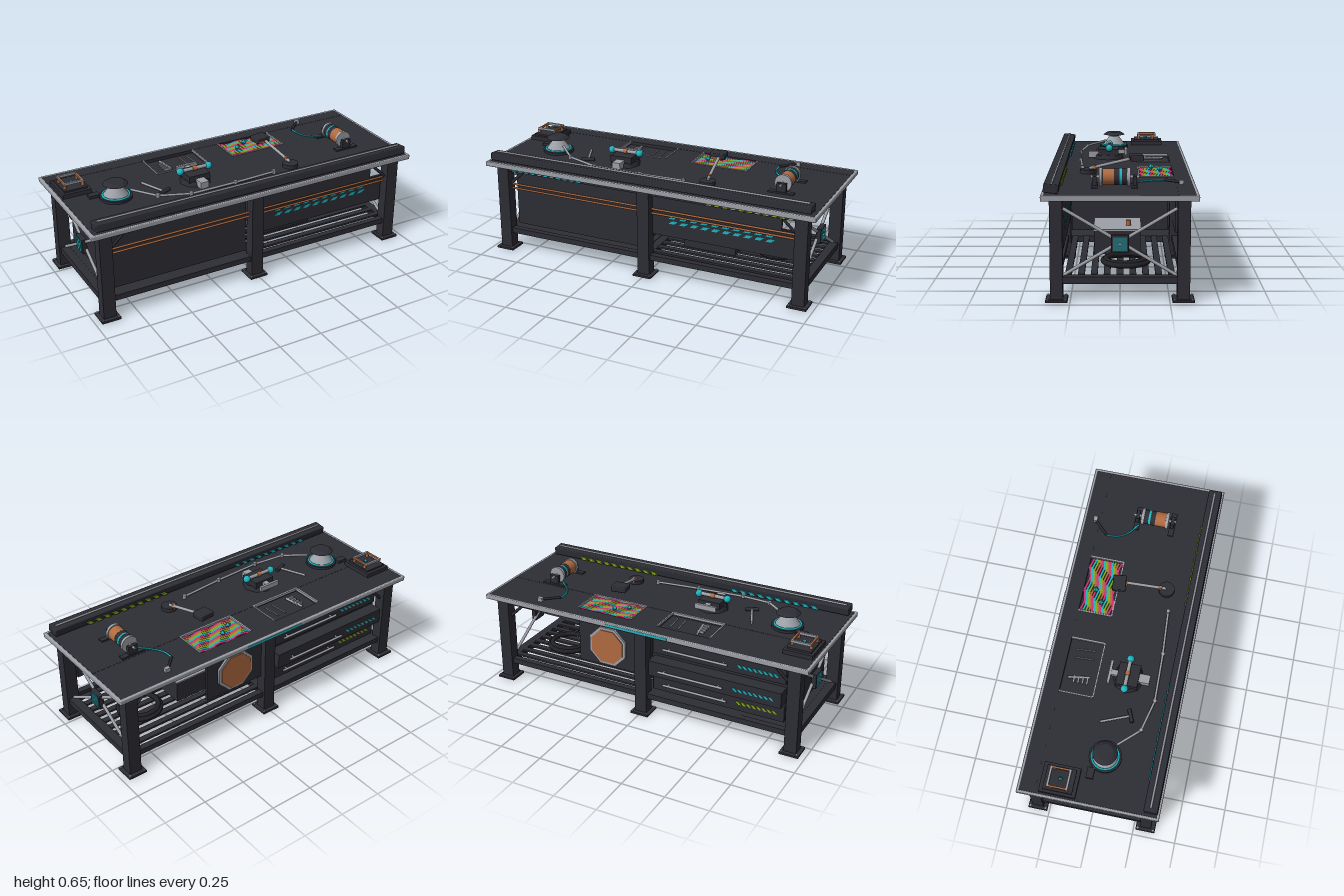
import * as THREE from 'three';
import { RoundedBoxGeometry } from 'three/addons/geometries/RoundedBoxGeometry.js';

const paint = (name, color) => {
  const m = new THREE.MeshStandardMaterial({ color });
  m.name = name;
  return m;
};

export function createModel() {
  const root = new THREE.Group();
  root.name = 'workbench';
  const dark = paint('dark steel', 0x2d2d35), black = paint('black rubber', 0x222226);
  const grey = paint('light metal', 0x9da0a7), copper = paint('copper', 0xb06a40);
  const cyan = paint('cyan', 0x1fb4c0), green = paint('lime green', 0x86a81c), pink = paint('pink', 0xd0306e);

  const add = (name, geo, mat, x = 0, y = 0, z = 0) => {
    const m = new THREE.Mesh(geo, mat);
    m.name = name;
    m.position.set(x, y, z);
    root.add(m);
    return m;
  };
  // box given by its min and max on each axis
  const box = (name, mat, x0, x1, y0, y1, z0, z1) => add(name,
    new THREE.BoxGeometry(x1 - x0, y1 - y0, z1 - z0), mat, (x0 + x1) / 2, (y0 + y1) / 2, (z0 + z1) / 2);
  const cyl = (name, mat, x, y, z, r, h, axis = 'y', r2 = r, sides = 28) => {
    const m = add(name, new THREE.CylinderGeometry(r2, r, h, sides), mat, x, y, z);
    if (axis === 'z') m.rotation.x = Math.PI / 2;
    if (axis === 'x') m.rotation.z = Math.PI / 2;
    return m;
  };
  // round or square rod from a to b
  const rod = (name, mat, a, b, r, sides = 10) => {
    const p = new THREE.Vector3(...a), q = new THREE.Vector3(...b), d = q.clone().sub(p);
    const m = add(name, new THREE.CylinderGeometry(r, r, d.length(), sides), mat);
    m.position.copy(p).add(q).multiplyScalar(0.5);
    m.quaternion.setFromUnitVectors(new THREE.Vector3(0, 1, 0), d.normalize());
    return m;
  };
  // row of slanted warning stripes
  const stripes = (name, mat, x0, x1, y, z, n, h, t = 0.004, slant = 1) => {
    const step = (x1 - x0) / n;
    for (let i = 0; i < n; i++) {
      const g = new THREE.BoxGeometry(step * 0.55, h, t), p = g.attributes.position;
      for (let k = 0; k < p.count; k++) p.setX(k, p.getX(k) + slant * p.getY(k));
      g.computeVertexNormals();
      add(name, g, mat, x0 + (i + 0.5) * step, y, z);
    }
  };

  // worktop with two shallow trays let into the rear
  box('topFront', dark, -0.985, 0.985, 0.523, 0.549, -0.1, 0.38);
  box('topBack', dark, -0.985, 0.985, 0.523, 0.549, -0.38, -0.29);
  for (const [a, b] of [[-0.985, -0.4], [-0.08, 0.09], [0.43, 0.985]])
    box('topInfill', dark, a, b, 0.523, 0.548, -0.29, -0.1);
  for (const [a, b] of [[-0.4, -0.08], [0.09, 0.43]]) {
    box('trayFloor', dark, a, b, 0.52, 0.53, -0.29, -0.1);
    for (const x of [a, b]) box('trayEdge', grey, x - 0.004, x + 0.004, 0.54, 0.552, -0.29, -0.1);
    box('trayEdge', grey, a, b, 0.54, 0.552, -0.104, -0.096);
  }
  for (const s of [-1, 1]) {
    add('topEdge', new RoundedBoxGeometry(2, 0.028, 0.016, 2, 0.005), grey, 0, 0.536, s * 0.382);
    add('topEdge', new RoundedBoxGeometry(0.016, 0.028, 0.78, 2, 0.005), grey, s * 0.992, 0.536, 0);
    // aprons below the top
    box('apron', dark, -0.88, 0.88, 0.49, 0.523, s * 0.32 - 0.015, s * 0.32 + 0.015);
    stripes('apronGreen', green, 0.37, 0.88, 0.503, s * 0.336, 11, 0.018);
  }
  stripes('apronCyan', cyan, -0.86, -0.39, 0.503, 0.336, 11, 0.018);
  stripes('apronCyan', cyan, -0.5, -0.05, 0.503, -0.336, 11, 0.018);
  box('rearLight', cyan, -0.19, 0.19, 0.529, 0.542, -0.392, -0.388);

  // tilted front ledge with rail
  const ledge = add('frontLedge', new RoundedBoxGeometry(1.94, 0.045, 0.076, 2, 0.006), dark, 0, 0.579, 0.339);
  ledge.rotation.x = -0.1;
  rod('ledgeRail', grey, [-0.95, 0.604, 0.336], [0.95, 0.604, 0.336], 0.006);
  stripes('ledgeCyan', cyan, -0.8, -0.25, 0.565, 0.298, 10, 0.018, 0.008);
  stripes('ledgeGreen', green, 0.23, 0.78, 0.565, 0.298, 10, 0.018, 0.008);

  // legs, feet and bolts
  for (const x of [-0.913, -0.003, 0.913]) for (const z of [-0.318, 0.318]) {
    box('leg', dark, x - 0.036, x + 0.036, 0.012, 0.523, z - 0.032, z + 0.032);
    add('foot', new RoundedBoxGeometry(0.112, 0.014, 0.112, 2, 0.004), dark, x, 0.007, z);
    for (const a of [-0.045, 0.045]) for (const b of [-0.045, 0.045])
      cyl('footBolt', grey, x + a, 0.016, z + b, 0.006, 0.007, 'y', 0.006, 6);
  }
  // lower frame, solid left shelf and slatted right shelf
  for (const z of [-0.318, 0.318]) box('longRail', dark, -0.88, 0.88, 0.1, 0.132, z - 0.018, z + 0.018);
  for (const x of [-0.913, -0.003, 0.913]) box('crossRail', dark, x - 0.025, x + 0.025, 0.09, 0.127, -0.3, 0.3);
  box('shelfPanel', dark, -0.89, -0.03, 0.115, 0.128, -0.3, 0.3);
  for (let i = 0; i < 9; i++) {
    const z = -0.26 + i * 0.065;
    box('shelfSlat', dark, 0.02, 0.89, 0.12, 0.131, z - 0.017, z + 0.017);
  }
  // crossed end braces with a centre plate
  for (const s of [-1, 1]) {
    for (const k of [-1, 1]) rod('endBrace', grey, [s * 0.905, 0.128, -k * 0.285], [s * 0.905, 0.47, k * 0.285], 0.009);
    add('bracePlate', new RoundedBoxGeometry(0.03, 0.088, 0.09, 2, 0.004), dark, s * 0.915, 0.294, 0);
    for (let i = 0; i < 7; i++)
      box('braceStripe', cyan, s * 0.932 - 0.002, s * 0.932 + 0.002, 0.26, 0.328, -0.032 + i * 0.0098, -0.0265 + i * 0.0098);
    cyl('braceBolt', grey, s * 0.936, 0.294, 0, 0.007, 0.006, 'x');
    // corner gussets
    for (const z of [-0.318, 0.318]) rod('cornerStrut', dark, [s * 0.88, 0.41, z], [s * 0.79, 0.495, z], 0.009, 4);
  }

  // drawer cabinet, rear drawers with handles
  box('cabinet', dark, -0.86, -0.045, 0.148, 0.476, -0.28, 0.285);
  const drawers = [[0.385, 0.47, -0.3, cyan], [0.27, 0.36, -0.358, cyan], [0.155, 0.25, -0.3, green]];
  for (const [y0, y1, z, mat] of drawers) {
    const y = (y0 + y1) / 2;
    box('drawer', dark, -0.85, -0.06, y0, y1, z, -0.27);
    rod('drawerHandle', grey, [-0.52, y, z - 0.02], [-0.13, y, z - 0.02], 0.007);
    for (const x of [-0.49, -0.16]) rod('handlePost', grey, [x, y, z], [x, y, z - 0.02], 0.005);
    stripes('drawerStripe', mat, -0.81, -0.57, y, z - 0.002, 8, 0.018);
  }
  // right front panel and paired copper rods
  box('frontPanel', dark, 0.02, 0.87, 0.25, 0.41, 0.285, 0.3);
  box('frontPanelTop', dark, 0.02, 0.79, 0.41, 0.49, 0.285, 0.3);
  for (const y of [0.338, 0.368]) stripes('panelStripe', cyan, 0.13, 0.76, y, 0.2925, 10, 0.018, 0.019, 1.2);
  for (const y of [0.38, 0.405]) for (const [a, b] of [[-0.875, -0.04], [0.035, 0.875]])
    rod('copperRod', copper, [a, y, 0.312], [b, y, 0.312], 0.006);

  // octagonal speaker on the back
  box('rearPanel', dark, 0.03, 0.41, 0.235, 0.49, -0.315, -0.3);
  for (const [name, mat, r, z] of [['octagonRim', grey, 0.124, -0.321], ['octagonFace', copper, 0.107, -0.326]])
    cyl(name, mat, 0.22, 0.365, z, r, 0.014, 'z', r, 8).rotation.y = Math.PI / 8;

  // storage crate and coiled hose on the slats
  box('crate', dark, 0.155, 0.47, 0.131, 0.26, -0.11, 0.14);
  box('crateLid', grey, 0.15, 0.475, 0.26, 0.266, -0.115, 0.145);
  cyl('crateKnob', copper, 0.36, 0.28, -0.045, 0.014, 0.03);
  for (let i = 0; i < 2; i++) {
    const hose = add('hoseCoil', new THREE.TorusGeometry(0.118 - i * 0.014, 0.014, 10, 40), black, 0.67, 0.146 + i * 0.011, -0.03);
    hose.rotation.x = Math.PI / 2 + 0.03 * i;
  }

  // wavy coloured mat in the right tray
  const matColours = [pink, copper, green, cyan];
  for (let i = 0; i < 13; i++) {
    const g = new THREE.BoxGeometry(0.325, 0.006, 0.0136, 40, 1, 1), p = g.attributes.position;
    for (let k = 0; k < p.count; k++) p.setZ(k, p.getZ(k) + 0.006 * Math.sin(p.getX(k) * 45 + i * 0.5));
    add('wavyStripe', g, matColours[(i * 3) % 4], 0.26, 0.542, -0.277 + i * 0.0136);
  }
  for (const [x, z] of [[0.16, -0.175], [0.23, -0.22]]) add('gem', new THREE.OctahedronGeometry(0.018), cyan, x, 0.56, z);

  // hand tools in the left tray
  rod('trayTool', grey, [-0.31, 0.54, -0.26], [-0.29, 0.54, -0.14], 0.007);
  for (let i = 0; i < 4; i++) box('toolTooth', grey, -0.335, -0.295, 0.533, 0.546, -0.155 - i * 0.025, -0.145 - i * 0.025);
  for (const x of [-0.19, -0.14]) rod('trayTool', grey, [x, 0.54, -0.25], [x + 0.008, 0.54, -0.14], 0.004);

  // small instrument in the rear left corner
  box('instrumentBase', dark, -0.975, -0.81, 0.549, 0.573, -0.27, -0.07);
  box('instrumentDeck', dark, -0.96, -0.825, 0.573, 0.583, -0.25, -0.09);
  for (const x of [-0.945, -0.84]) for (const z of [-0.21, -0.12]) cyl('instrumentPost', copper, x, 0.593, z, 0.009, 0.02);
  for (const z of [-0.225, -0.12]) box('instrumentBar', grey, -0.95, -0.835, 0.603, 0.616, z - 0.006, z + 0.006);
  for (const x of [-0.945, -0.84]) box('instrumentBar', copper, x - 0.005, x + 0.005, 0.603, 0.614, -0.225, -0.12);
  add('gem', new THREE.OctahedronGeometry(0.013), cyan, -0.89, 0.593, -0.165);

  // domed lamp head with its jointed arm
  cyl('lampBase', dark, -0.715, 0.556, 0.04, 0.09, 0.014);
  const ring = add('lampRing', new THREE.TorusGeometry(0.074, 0.006, 8, 36), cyan, -0.715, 0.567, 0.04);
  ring.rotation.x = Math.PI / 2;
  cyl('lampCone', grey, -0.715, 0.592, 0.04, 0.072, 0.058, 'y', 0.03);
  cyl('lampNeck', cyan, -0.715, 0.626, 0.04, 0.028, 0.012);
  cyl('lampCap', dark, -0.715, 0.639, 0.04, 0.068, 0.016, 'y', 0.045);
  box('lampLink', dark, -0.85, -0.79, 0.549, 0.565, -0.04, 0.0);
  const arm = [[-0.65, 0.6, 0.09], [-0.54, 0.585, 0.2], [-0.36, 0.57, 0.24], [-0.08, 0.565, 0.23], [0.18, 0.56, 0.21]];
  for (let i = 0; i < 4; i++) {
    rod('lampArm', grey, arm[i], arm[i + 1], 0.007);
    cyl('armJoint', grey, ...arm[i + 1], 0.011, 0.02);
  }

  // hammer
  rod('hammerHandle', grey, [-0.53, 0.558, -0.03], [-0.465, 0.558, 0.125], 0.007);
  rod('hammerHead', dark, [-0.5, 0.56, 0.142], [-0.43, 0.56, 0.112], 0.011);

  // vise
  cyl('viseBase', dark, -0.25, 0.562, 0.07, 0.09, 0.026, 'y', 0.08, 8);
  box('viseBody', dark, -0.315, -0.185, 0.57, 0.608, 0.01, 0.13);
  box('viseSlide', grey, -0.275, -0.225, 0.552, 0.59, 0.13, 0.19);
  box('viseScrew', grey, -0.265, -0.235, 0.575, 0.6, -0.03, 0.02);
  box('viseJaw', grey, -0.315, -0.185, 0.575, 0.605, -0.04, -0.025);
  rod('viseBar', grey, [-0.34, 0.622, 0.065], [-0.16, 0.622, 0.065], 0.011);
  for (const x of [-0.338, -0.162]) add('viseGrip', new THREE.SphereGeometry(0.021, 18, 12), cyan, x, 0.62, 0.065);
  cyl('viseKnob', copper, -0.25, 0.622, 0.065, 0.014, 0.025, 'x');

  // small jointed work light
  cyl('lightBase', dark, 0.31, 0.56, 0.175, 0.045, 0.022);
  cyl('lightPost', copper, 0.305, 0.578, 0.14, 0.01, 0.03);
  rod('lightArm', grey, [0.31, 0.575, 0.17], [0.28, 0.622, -0.05], 0.009);
  add('lightHead', new RoundedBoxGeometry(0.09, 0.034, 0.075, 2, 0.006), dark, 0.265, 0.628, -0.09).rotation.y = 0.12;
  box('lightTrim', copper, 0.235, 0.295, 0.614, 0.626, -0.053, -0.045);

  // wire reel with brackets and a probe lead
  cyl('reelCopper', copper, 0.722, 0.598, 0.06, 0.043, 0.06, 'z');
  cyl('reelDrum', dark, 0.722, 0.598, -0.003, 0.042, 0.066, 'z');
  cyl('reelBand', cyan, 0.722, 0.598, -0.004, 0.0435, 0.012, 'z');
  for (const z of [0.099, -0.044]) cyl('reelFlange', grey, 0.722, 0.598, z, 0.048, 0.017, 'z');
  rod('reelAxle', grey, [0.722, 0.598, -0.1], [0.722, 0.598, 0.15], 0.008);
  for (const z of [0.13, -0.075]) {
    box('reelBracket', dark, 0.695, 0.75, 0.549, 0.606, z - 0.01, z + 0.01);
    box('reelFoot', dark, 0.65, 0.795, 0.549, 0.558, z - 0.016, z + 0.016);
  }
  const lead = new THREE.CatmullRomCurve3([[0.68, 0.565, -0.06], [0.62, 0.556, -0.11], [0.585, 0.556, -0.17], [0.58, 0.556, -0.235]]
    .map(p => new THREE.Vector3(...p)));
  add('probeLead', new THREE.TubeGeometry(lead, 24, 0.005, 8), cyan);
  rod('probe', dark, [0.58, 0.558, -0.235], [0.655, 0.56, -0.31], 0.007);
  box('probeTip', grey, 0.65, 0.68, 0.549, 0.572, -0.328, -0.305);
  return root;
}
